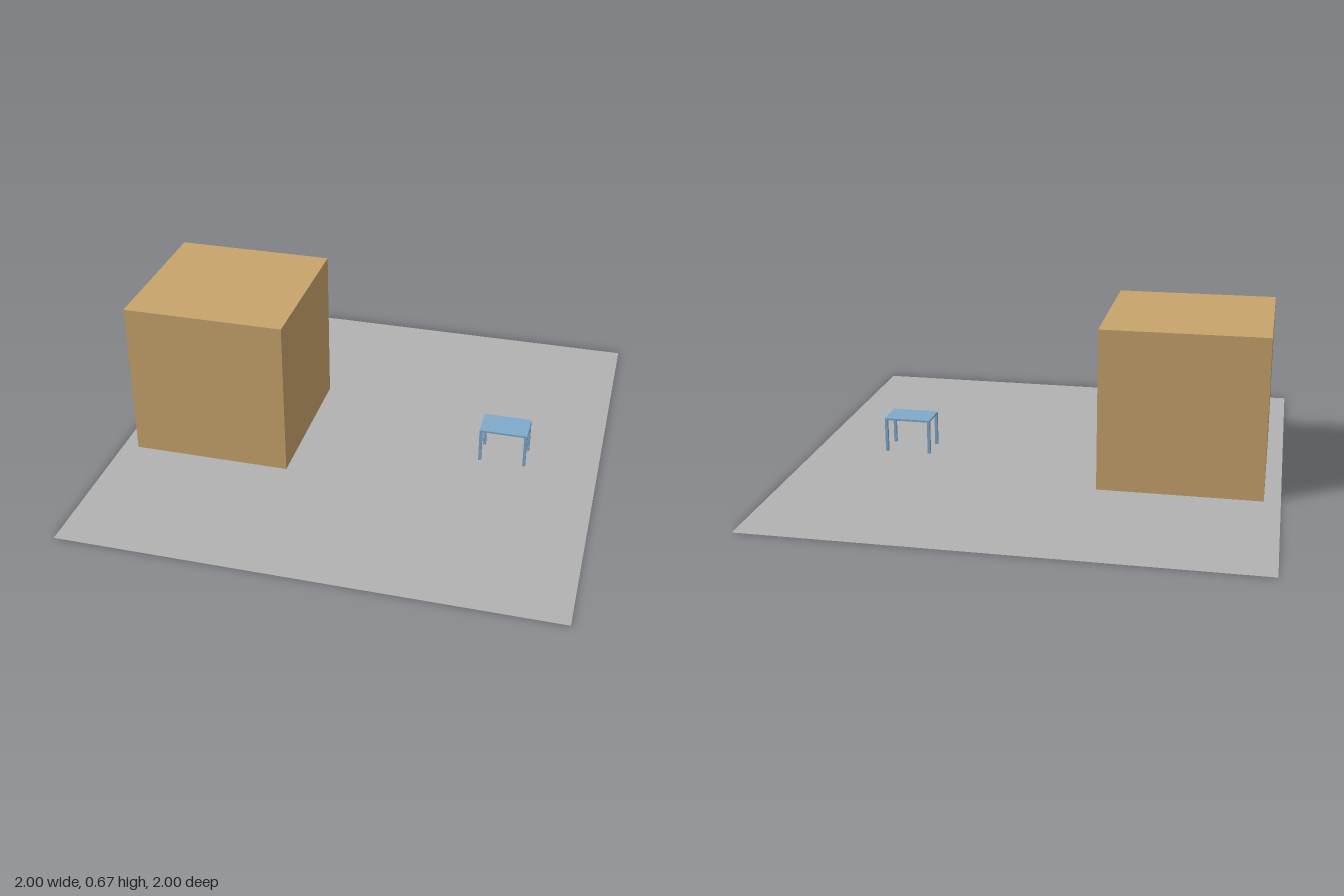
import * as THREE from 'three';

export function createModel() {
  const model = new THREE.Group();
  const material = (name, color, side = THREE.FrontSide) =>
    Object.assign(new THREE.MeshStandardMaterial({ color, side }), { name });
  const grey = material('floor grey', 0xb2b2b2, THREE.DoubleSide);
  const tan = material('box tan', 0xc8a46c);
  const blue = material('table blue', 0x80a9ca);

  const addBox = (parent, name, mat, size, position) => {
    const mesh = new THREE.Mesh(new THREE.BoxGeometry(...size), mat);
    mesh.name = name;
    mesh.position.set(...position);
    parent.add(mesh);
  };

  // Flat square floor
  const floor = new THREE.Mesh(new THREE.PlaneGeometry(2, 2), grey);
  floor.name = 'floor';
  floor.rotation.x = -Math.PI / 2;
  model.add(floor);

  // Large cube on the right-hand side
  const cube = 0.667;
  addBox(model, 'cube', tan, [cube, cube, cube], [-0.6, cube / 2, 0]);

  // Small table: thin top on four corner legs
  const table = new THREE.Group();
  table.name = 'table';
  table.position.x = 0.6;
  const width = 0.2, depth = 0.133, height = 0.15, top = 0.008, leg = 0.012;
  addBox(table, 'tableTop', blue, [width, top, depth], [0, height - top / 2, 0]);
  for (const sx of [-1, 1]) {
    for (const sz of [-1, 1]) {
      addBox(table, 'tableLeg', blue, [leg, height - top, leg],
        [sx * (width - leg) / 2, (height - top) / 2, sz * (depth - leg) / 2]);
    }
  }
  model.add(table);

  return model;
}
